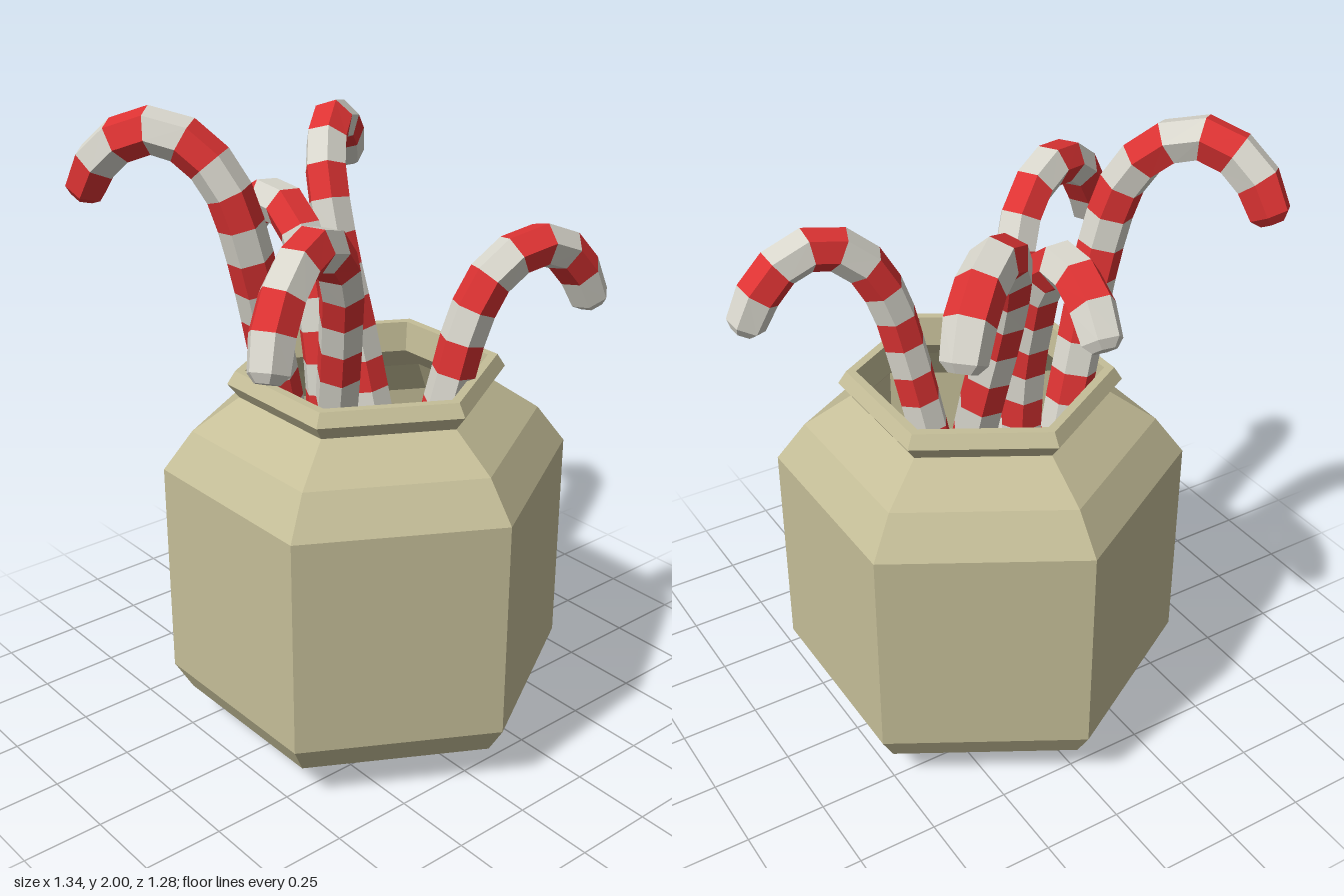
import * as THREE from 'three';

const mat = (color) => new THREE.MeshStandardMaterial({ color, flatShading: true });
const SIDES = 6, RADIUS = 0.068, STRIPE = 0.1;

// Faceted band between two rings of points (flat, unindexed)
function addBand(out, a, b) {
  for (let j = 0; j < SIDES; j++) {
    const k = (j + 1) % SIDES;
    for (const p of [a[j], a[k], b[j], a[k], b[k], b[j]]) out.push(p.x, p.y, p.z);
  }
}

function meshFrom(positions, material, name) {
  const g = new THREE.BufferGeometry();
  g.setAttribute('position', new THREE.Float32BufferAttribute(positions, 3));
  g.computeVertexNormals();
  const m = new THREE.Mesh(g, material);
  m.name = name;
  return m;
}

// Striped hooked cane swept along a curve, with a bevelled cap at each end
function makeCane(points, tipRed, red, white) {
  const curve = new THREE.CatmullRomCurve3(points.map((p) => new THREE.Vector3(...p)));
  curve.arcLengthDivisions = 400;
  const n = Math.round(curve.getLength() / STRIPE);
  const frames = curve.computeFrenetFrames(n);
  const ring = (i, r, shift = 0) => {
    const c = curve.getPointAt(i / n).addScaledVector(frames.tangents[i], shift);
    return Array.from({ length: SIDES }, (_, j) => {
      const t = (j / SIDES) * Math.PI * 2;
      return c.clone()
        .addScaledVector(frames.normals[i], r * Math.cos(t))
        .addScaledVector(frames.binormals[i], r * Math.sin(t));
    });
  };
  const bins = [[], []];
  const bin = (i) => bins[((n - 1 - i) % 2 === 0) === tipRed ? 0 : 1];
  const rad = (i) => (i === n ? RADIUS * 0.9 : RADIUS);
  for (let i = 0; i < n; i++) addBand(bin(i), ring(i, rad(i)), ring(i + 1, rad(i + 1)));
  // rounded tip and flat foot
  const tip = ring(n, RADIUS * 0.55, 0.025);
  addBand(bin(n - 1), ring(n, rad(n)), tip);
  addBand(bin(n - 1), tip, ring(n, 0, 0.025));
  addBand(bin(0), ring(0, 0), ring(0, RADIUS));
  const cane = new THREE.Group();
  cane.add(meshFrom(bins[0], red, 'redStripes'), meshFrom(bins[1], white, 'whiteStripes'));
  return cane;
}

export function createModel() {
  const model = new THREE.Group();
  model.name = 'jarOfCanes';

  // Six-sided jar: up the outside, over the lip, down the inside to the floor
  const profile = [
    [0, 0], [0.305, 0], [0.305, 0.04], [0.57, 0.12], [0.625, 0.21], [0.625, 0.9],
    [0.535, 1.02], [0.39, 1.12], [0.425, 1.165], [0.4, 1.205], [0.37, 1.205],
    [0.36, 1.11], [0.5, 1.01], [0.585, 0.89], [0.585, 0.22], [0.53, 0.15],
    [0.29, 0.09], [0, 0.09],
  ].map(([r, y]) => new THREE.Vector2(r, y));
  const jarGeo = new THREE.LatheGeometry(profile, 6).toNonIndexed();
  jarGeo.computeVertexNormals();
  const jar = new THREE.Mesh(jarGeo, mat(0xc5be98));
  jar.name = 'jar';
  jar.position.set(0.018, 0, 0.012);
  model.add(jar);

  // Canes: foot, lean through the mouth, then the hook
  const red = mat(0xdd3333), white = mat(0xd8d6cc);
  const canes = {
    frontLeftCane: [false, [[-0.02, 0.15, 0.08], [0.14, 1.2, 0.25], [0.185, 1.38, 0.27],
      [0.25, 1.5, 0.29], [0.36, 1.57, 0.32], [0.48, 1.55, 0.33], [0.57, 1.46, 0.34], [0.61, 1.37, 0.35]]],
    frontRightCane: [false, [[0.01, 0.15, -0.25], [-0.12, 1.2, 0.04], [-0.15, 1.4, 0.09],
      [-0.19, 1.55, 0.14], [-0.26, 1.65, 0.18], [-0.38, 1.69, 0.24], [-0.5, 1.64, 0.3],
      [-0.57, 1.54, 0.33], [-0.61, 1.44, 0.36]]],
    tallCane: [true, [[0.02, 0.15, -0.2], [-0.23, 1.2, -0.12], [-0.33, 1.6, -0.1],
      [-0.375, 1.78, -0.13], [-0.43, 1.89, -0.2], [-0.5, 1.935, -0.28], [-0.57, 1.9, -0.37],
      [-0.61, 1.82, -0.44], [-0.62, 1.75, -0.475]]],
    backCane: [false, [[-0.1, 0.15, -0.02], [-0.09, 1.2, -0.06], [-0.09, 1.4, -0.1],
      [-0.085, 1.55, -0.15], [-0.08, 1.64, -0.24], [-0.07, 1.65, -0.34], [-0.06, 1.6, -0.44],
      [-0.05, 1.53, -0.5]]],
    backLeftCane: [false, [[0.22, 0.15, 0.03], [0.14, 1.2, -0.18], [0.11, 1.45, -0.23],
      [0.11, 1.62, -0.28], [0.15, 1.75, -0.35], [0.24, 1.82, -0.43], [0.34, 1.79, -0.51],
      [0.41, 1.71, -0.57], [0.43, 1.66, -0.59]]],
  };
  for (const [name, [tipRed, points]] of Object.entries(canes)) {
    const cane = makeCane(points, tipRed, red, white);
    cane.name = name;
    model.add(cane);
  }
  return model;
}
